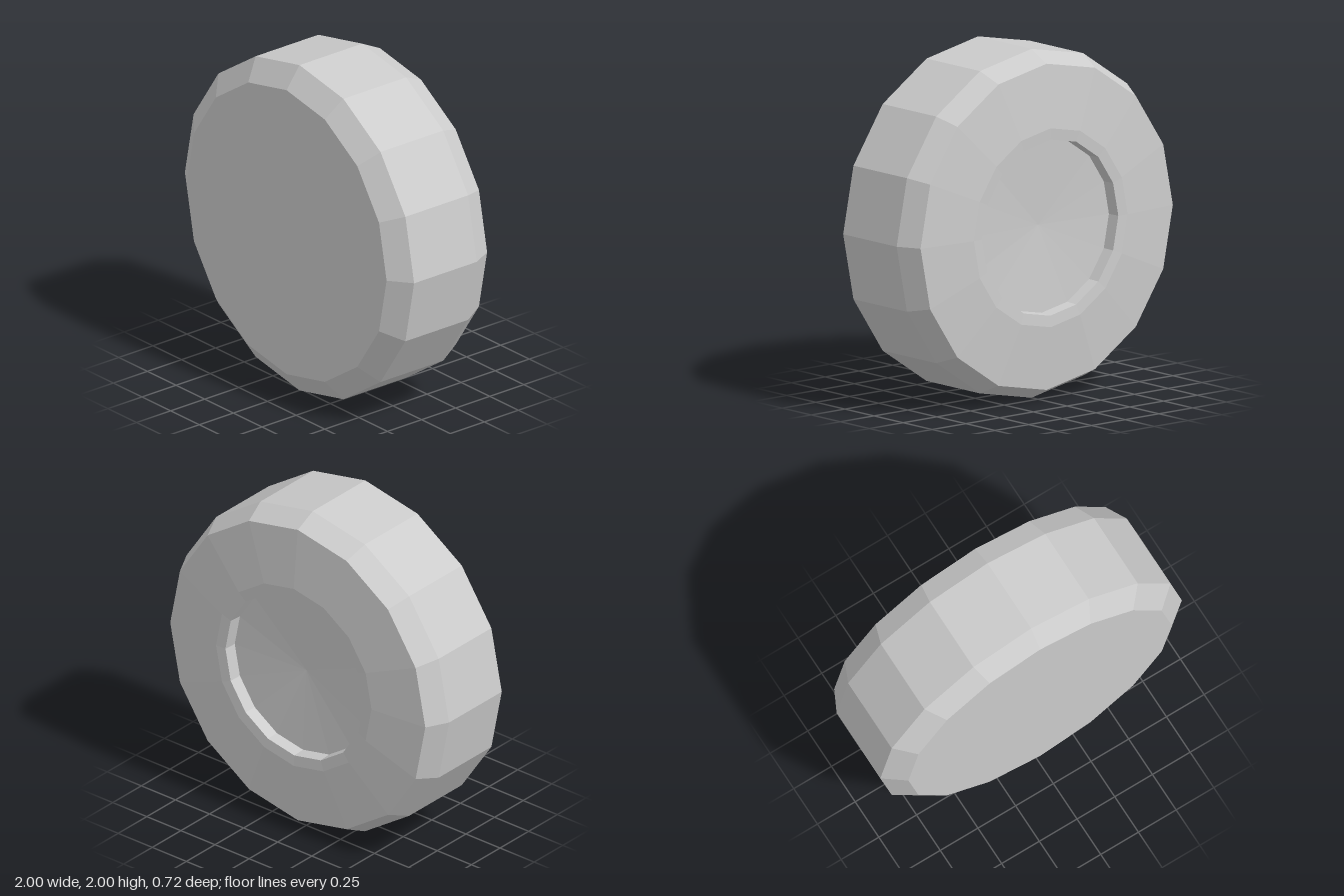
import * as THREE from 'three';

const SIDES = 16;
const material = new THREE.MeshStandardMaterial({ color: 0xcccccc, flatShading: true });

// Turns a [radius, z] profile, listed from back to front, around the z axis
function turned(name, profile) {
  const points = profile.map(([r, z]) => new THREE.Vector2(r, z));
  const geometry = new THREE.LatheGeometry(points, SIDES).rotateX(Math.PI / 2);
  const mesh = new THREE.Mesh(geometry, material);
  mesh.name = name;
  mesh.position.y = 1;
  return mesh;
}

export function createModel() {
  const group = new THREE.Group();
  group.name = 'wheel';

  // Shallow dished hub sunk into the back
  group.add(turned('hubRecess', [[0, -0.25], [0.5, -0.28], [0.505, -0.355]]));

  // Hub lip, sidewall, shoulder, tread and front bevel
  group.add(turned('tire', [
    [0.505, -0.355], [0.57, -0.36], [0.935, -0.325],
    [1, -0.195], [1, 0.265], [0.873, 0.36],
  ]));

  // Flat front cap
  const cap = new THREE.Mesh(new THREE.CircleGeometry(0.873, SIDES), material);
  cap.name = 'frontCap';
  cap.position.set(0, 1, 0.36);
  group.add(cap);

  return group;
}
